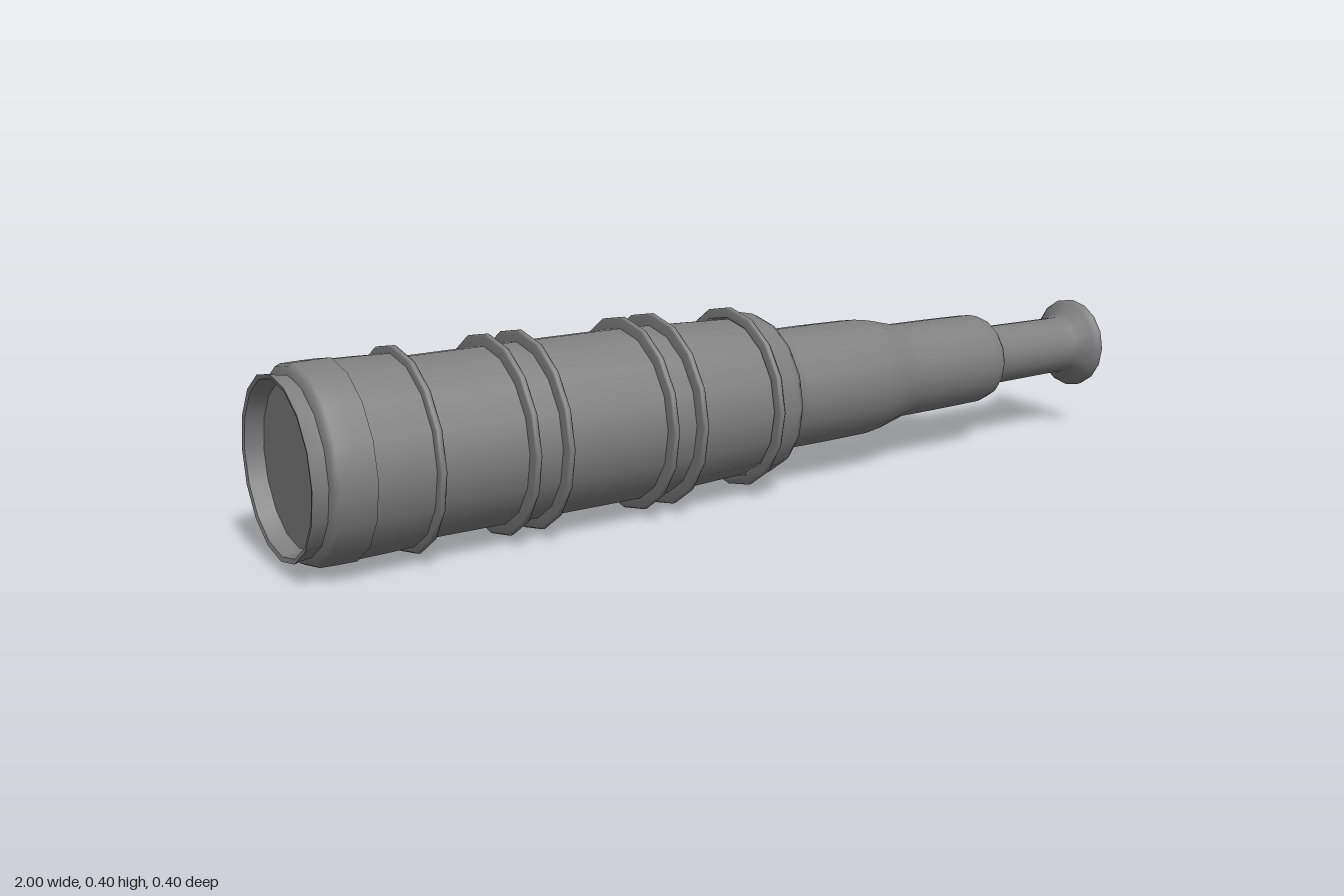
import * as THREE from 'three';
import { mergeGeometries } from 'three/addons/utils/BufferGeometryUtils.js';

const SIDES = 16;
const material = new THREE.MeshStandardMaterial({ color: 0x808080, side: THREE.DoubleSide });

// Turns a profile of [x, radius] pairs about the x axis; turns sharper than crease (radians) stay sharp.
function turned(name, profile, crease = Math.PI) {
  const pts = profile.map(([x, r]) => new THREE.Vector2(r, x));
  const runs = [[pts[0]]];
  for (let i = 1; i < pts.length; i++) {
    runs[runs.length - 1].push(pts[i]);
    if (i === pts.length - 1) break;
    const a = pts[i].clone().sub(pts[i - 1]).normalize();
    const b = pts[i + 1].clone().sub(pts[i]).normalize();
    if (a.dot(b) < Math.cos(crease)) runs.push([pts[i]]);
  }
  const geometry = mergeGeometries(runs.map((run) => new THREE.LatheGeometry(run, SIDES)));
  geometry.rotateZ(-Math.PI / 2);
  const mesh = new THREE.Mesh(geometry, material);
  mesh.name = name;
  return mesh;
}

export function createModel() {
  const group = new THREE.Group();
  group.name = 'spyglass';

  // Front lens recessed behind its rim
  group.add(turned('frontLens', [[-0.965, 0], [-0.965, 0.155]]));
  group.add(turned('frontRim', [
    [-0.965, 0.155], [-0.998, 0.165], [-1, 0.174], [-0.985, 0.17], [-0.965, 0.168],
  ], 0.75));

  // Front collar: a thick ring and a slightly tapered sleeve
  group.add(turned('frontCollar', [
    [-0.968, 0.165], [-0.965, 0.184], [-0.955, 0.189], [-0.92, 0.19], [-0.885, 0.19], [-0.883, 0.184],
  ], 1.2));
  group.add(turned('frontSleeve', [[-0.885, 0.187], [-0.83, 0.186], [-0.77, 0.184]]));

  // Main barrel
  group.add(turned('mainBarrel', [
    [-0.77, 0.174], [-0.5, 0.175], [-0.24, 0.175], [-0.015, 0.166],
  ]));

  // Raised bands around the barrel
  for (const x of [-0.764, -0.573, -0.503, -0.271, -0.203, -0.012]) {
    const r = x > -0.1 ? 0.19 : 0.198;
    group.add(turned('band', [
      [x - 0.008, 0.17], [x - 0.007, r - 0.003], [x - 0.003, r],
      [x + 0.003, r], [x + 0.007, r - 0.003], [x + 0.008, 0.17],
    ]));
  }

  // Tapered collar at the back of the barrel, flowing into the first tube
  group.add(turned('rearCollar', [
    [-0.01, 0.182], [0.045, 0.171], [0.057, 0.165], [0.06, 0.13], [0.1, 0.13],
  ]));

  // Draw tubes, each shoulder flowing into the next tube
  group.add(turned('largeDrawTube', [
    [0.1, 0.13], [0.2, 0.13], [0.32, 0.128], [0.36, 0.122], [0.4, 0.112], [0.43, 0.105], [0.5, 0.1045],
  ]));
  group.add(turned('mediumDrawTube', [
    [0.5, 0.1045], [0.55, 0.104], [0.66, 0.102], [0.685, 0.096], [0.697, 0.085], [0.7, 0.068], [0.74, 0.068],
  ]));
  group.add(turned('smallDrawTube', [[0.74, 0.068], [0.82, 0.067], [0.91, 0.066]]));

  // Flared eyepiece with a rounded lip and a shallow dish
  group.add(turned('eyepiece', [
    [0.91, 0.066], [0.945, 0.066], [0.958, 0.074], [0.975, 0.095], [0.986, 0.104], [0.996, 0.103],
    [1, 0.097], [0.996, 0.088],
  ]));
  group.add(turned('eyepieceDish', [
    [0.996, 0.088], [0.982, 0.072], [0.972, 0.045], [0.968, 0],
  ]));

  group.position.y = 0.199;
  const model = new THREE.Group();
  model.add(group);
  return model;
}
